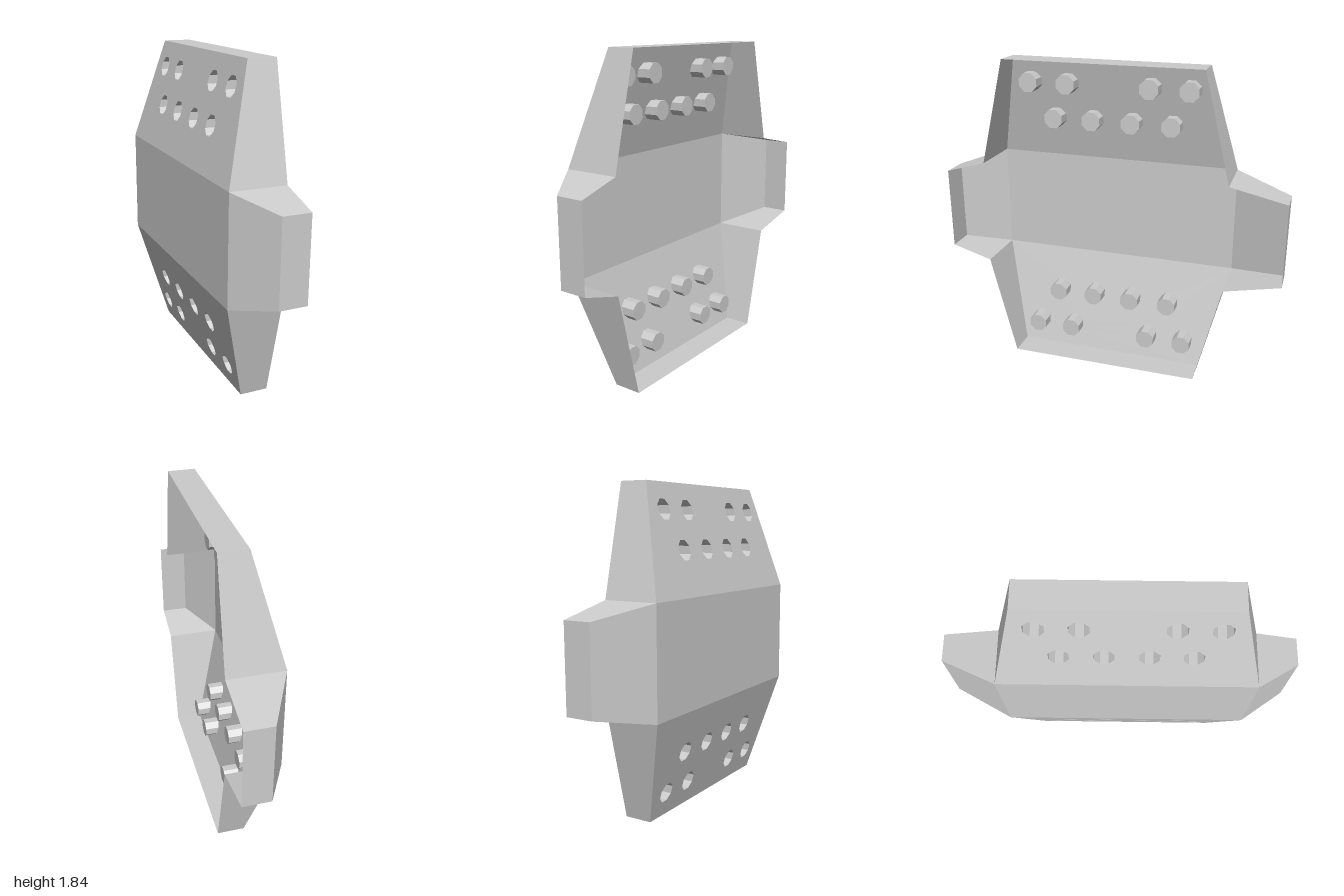
import * as THREE from 'three';

const RIM = 0.16, BOSS_R = 0.058, BOSS_H = 0.08, TOP = 1.84;

// Depth of the back skin: flat in the middle, sloping forward in the four flaps
const backX = (z, y) => -0.16 + 0.16 * Math.max(
  0, (Math.abs(y - 0.92) - 0.31) / 0.61, (z - 0.76) / 0.24, (-0.68 - z) / 0.32);

// Outline as [z, y], clockwise from the top front corner
const OUTLINE = [
  [0.61, TOP], [0.76, 1.23], [1, 1.16], [1, 0.68], [0.76, 0.61], [0.61, 0],
  [-0.53, 0], [-0.68, 0.61], [-1, 0.68], [-1, 1.16], [-0.68, 1.23], [-0.53, TOP],
];

// Boss centres on the upper flap as [z, y]
const BOSSES = [
  ...[0.51, 0.285, -0.2, -0.425].map(z => [z, 1.695]),
  ...[0.385, 0.155, -0.08, -0.315].map(z => [z, 1.48]),
];

export function createModel() {
  const group = new THREE.Group();
  const material = new THREE.MeshStandardMaterial({
    color: 0xcccccc, flatShading: true, side: THREE.DoubleSide,
  });
  const add = (name, geometry) => {
    const mesh = new THREE.Mesh(geometry, material);
    mesh.name = name;
    group.add(mesh);
  };

  // Octagon with flat top, used for the boss openings
  const octagon = ([z, y]) => new THREE.Path(Array.from({ length: 8 }, (_, i) => {
    const a = (i + 0.5) * Math.PI / 4;
    return new THREE.Vector2(z + BOSS_R * Math.cos(a), y + BOSS_R * Math.sin(a));
  }));

  // Flat panel drawn in z/y and laid on the back skin
  const panel = (name, corners, holes = []) => {
    const shape = new THREE.Shape(corners.map(i => new THREE.Vector2(...OUTLINE[i])));
    shape.holes = holes.map(octagon);
    const geometry = new THREE.ShapeGeometry(shape);
    const p = geometry.attributes.position;
    for (let i = 0; i < p.count; i++) {
      const z = p.getX(i), y = p.getY(i);
      p.setXYZ(i, backX(z, y), y, z);
    }
    geometry.computeVertexNormals();
    add(name, geometry);
  };

  const lowerBosses = BOSSES.map(([z, y]) => [z, TOP - y]);
  panel('centrePanel', [1, 4, 7, 10]);
  panel('upperFlap', [0, 1, 10, 11], BOSSES);
  panel('lowerFlap', [4, 5, 6, 7], lowerBosses);
  panel('frontFlap', [1, 2, 3, 4]);
  panel('backFlap', [7, 8, 9, 10]);

  // Rim walls from the skin's edge to the open side
  const wall = [];
  OUTLINE.forEach(([z1, y1], i) => {
    const [z2, y2] = OUTLINE[(i + 1) % OUTLINE.length];
    const a = [backX(z1, y1), y1, z1], b = [backX(z2, y2), y2, z2];
    const c = [RIM, y2, z2], d = [RIM, y1, z1];
    wall.push(...a, ...b, ...c, ...a, ...c, ...d);
  });
  const walls = new THREE.BufferGeometry();
  walls.setAttribute('position', new THREE.Float32BufferAttribute(wall, 3));
  walls.computeVertexNormals();
  add('rimWalls', walls);

  // Hollow bosses: open at the back skin, capped inside the dish
  for (const [z, y] of [...BOSSES, ...lowerBosses]) {
    const profile = [[BOSS_R, 0], [BOSS_R, BOSS_H], [0, BOSS_H]].map(q => new THREE.Vector2(...q));
    const geometry = new THREE.LatheGeometry(profile, 8, Math.PI / 8);
    geometry.rotateZ(-Math.PI / 2).translate(0, y, z);
    const p = geometry.attributes.position;
    for (let i = 0; i < p.count; i++) {
      const atSkin = p.getX(i) < BOSS_H / 2;
      p.setX(i, atSkin ? backX(p.getZ(i), p.getY(i)) : backX(z, y) + BOSS_H);
    }
    geometry.computeVertexNormals();
    add('boss', geometry);
  }
  return group;
}
